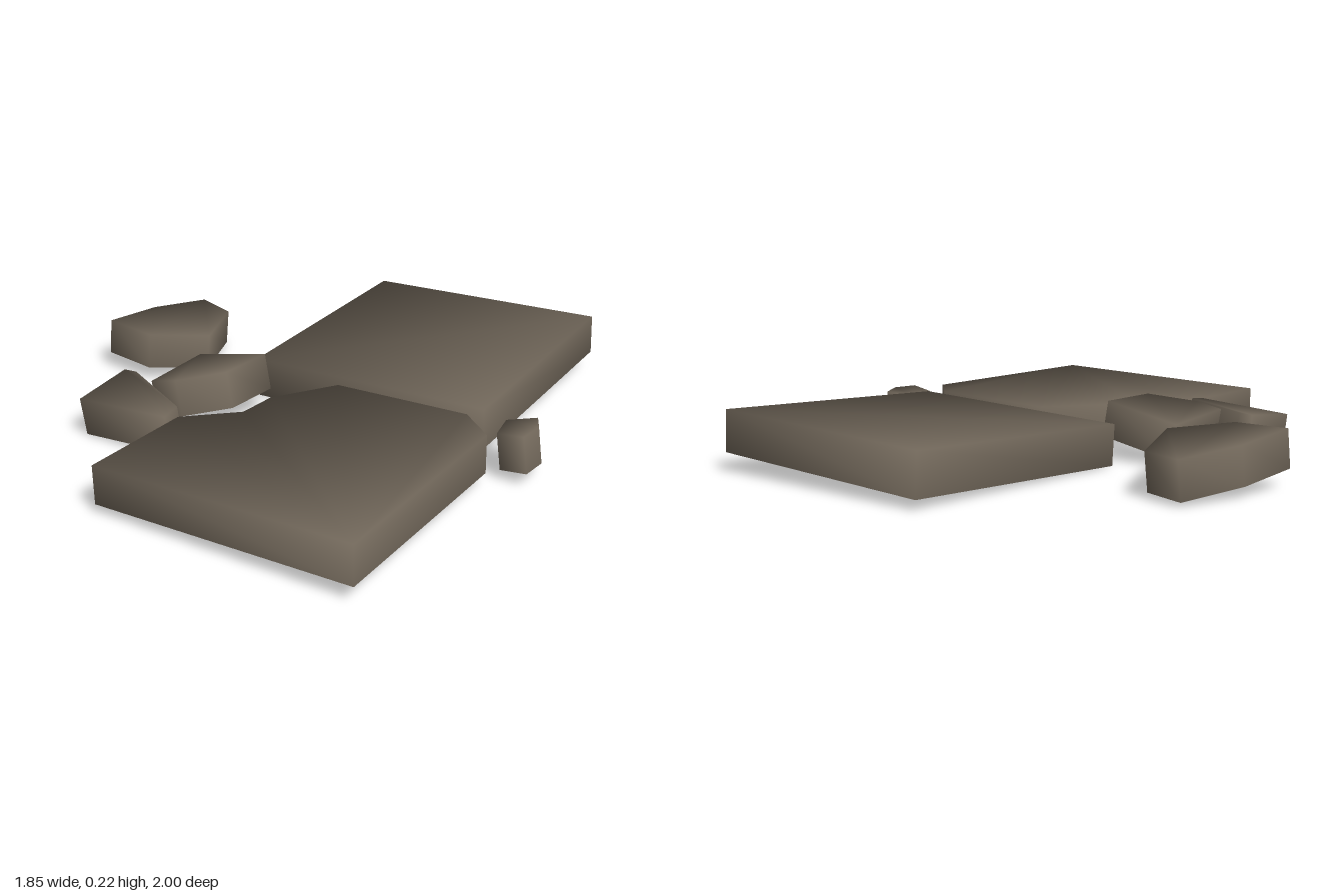
import * as THREE from 'three';

// Tilted stone plate, open underneath. outline: [x, z] corners, clockwise seen from above.
// Lower rim: y = base + sx * x + sz * z; thickness runs along the plate normal.
// Top corners average the adjoining faces for soft edges; the rim keeps the wall normals.
function plateGeometry({ outline, base, sx, sz, thickness }) {
  const n = outline.length;
  const up = new THREE.Vector3(-sx, 1, -sz).normalize();
  const edgeNormals = outline.map(([x, z], i) => {
    const [x2, z2] = outline[(i + 1) % n];
    return new THREE.Vector3(z2 - z, 0, x - x2).projectOnPlane(up).normalize();
  });
  const positions = [], normals = [], index = [];
  for (const top of [0, 1]) {
    outline.forEach(([x, z], i) => {
      const mid = new THREE.Vector3(x, base + sx * x + sz * z + thickness / 2, z);
      positions.push(...mid.addScaledVector(up, (top - 0.5) * thickness).toArray());
      const normal = up.clone().multiplyScalar(top)
        .add(edgeNormals[i]).add(edgeNormals[(i + n - 1) % n]).normalize();
      normals.push(...normal.toArray());
    });
  }
  // Top fan
  for (let i = 1; i < n - 1; i++) {
    index.push(n, n + i + 1, n + i);
  }
  // Side walls
  for (let i = 0; i < n; i++) {
    const j = (i + 1) % n;
    index.push(i, n + i, n + j, i, n + j, j);
  }
  const geometry = new THREE.BufferGeometry();
  geometry.setAttribute('position', new THREE.Float32BufferAttribute(positions, 3));
  geometry.setAttribute('normal', new THREE.Float32BufferAttribute(normals, 3));
  geometry.setIndex(index);
  return geometry;
}

const PLATES = [
  {
    name: 'backSlab',
    outline: [[0.705, -0.988], [0.697, -0.03], [-0.26, -0.046], [-0.252, -0.998]],
    base: 0.004, sx: 0.036, sz: -0.036, thickness: 0.151,
  },
  {
    name: 'brokenFrontSlab',
    outline: [[0.79, 0.995], [-0.178, 0.99], [-0.178, 0.55], [-0.01, 0.4],
      [0, 0.25], [0.145, 0.03], [0.66, 0.03], [0.793, 0.15]],
    base: 0.02, sx: 0.028, sz: 0.011, thickness: 0.138,
  },
  {
    name: 'largeFragment',
    outline: [[-0.83, -0.455], [-0.66, -0.395], [-0.53, -0.09],
      [-0.7, 0.067], [-0.922, 0.037], [-0.91, -0.22]],
    base: 0.021, sx: -0.035, sz: 0.085, thickness: 0.135,
  },
  {
    name: 'raisedFragment',
    outline: [[-0.45, 0.05], [-0.16, 0.035], [-0.172, 0.26], [-0.318, 0.37], [-0.42, 0.38]],
    base: 0.113, sx: 0.21, sz: 0.03, thickness: 0.135,
  },
  {
    name: 'wedgeFragment',
    outline: [[-0.585, 0.335], [-0.53, 0.335], [-0.207, 0.505], [-0.2, 0.583], [-0.585, 0.583]],
    base: 0.098, sx: 0.07, sz: -0.1, thickness: 0.143,
  },
  {
    name: 'smallChip',
    outline: [[0.783, -0.04], [0.878, -0.087], [0.915, -0.01], [0.905, 0.09], [0.805, 0.082]],
    base: -0.091, sx: 0.15, sz: 0.01, thickness: 0.132,
  },
];

export function createModel() {
  const group = new THREE.Group();
  group.name = 'brokenPavingStones';
  const stone = new THREE.MeshStandardMaterial({ color: 0x71675a, side: THREE.DoubleSide });
  stone.name = 'brownStone';
  for (const plate of PLATES) {
    const mesh = new THREE.Mesh(plateGeometry(plate), stone);
    mesh.name = plate.name;
    group.add(mesh);
  }
  return group;
}
